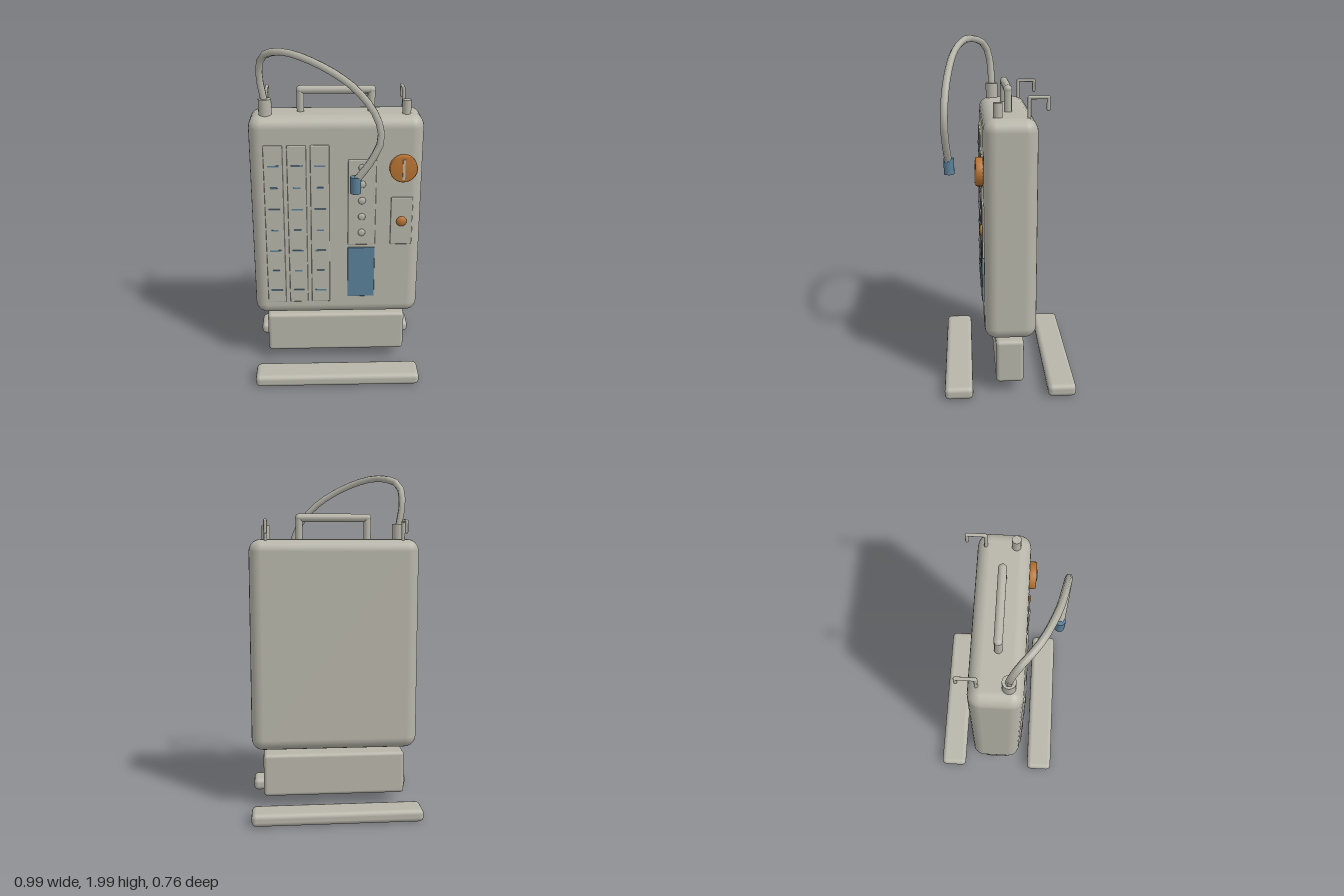
import * as THREE from 'three';
import { RoundedBoxGeometry } from 'three/addons/geometries/RoundedBoxGeometry.js';

const mat = (name, color) => Object.assign(new THREE.MeshStandardMaterial({ color }), { name });

export function createModel() {
  const grey = mat('warmGrey', 0xb8b6aa);
  const copper = mat('copper', 0xb87333);
  const blue = mat('steelBlue', 0x5b8199);
  const model = new THREE.Group();
  model.name = 'backpackUnit';

  const add = (name, geometry, material, x = 0, y = 0, z = 0, parent = model) => {
    const mesh = new THREE.Mesh(geometry, material);
    mesh.name = name;
    mesh.position.set(x, y, z);
    parent.add(mesh);
    return mesh;
  };
  // Rounded block given by its limits on each axis
  const block = (name, material, [x0, x1], [y0, y1], [z0, z1], radius, segments = 2) =>
    add(name, new RoundedBoxGeometry(x1 - x0, y1 - y0, z1 - z0, segments, radius), material,
      (x0 + x1) / 2, (y0 + y1) / 2, (z0 + z1) / 2);
  // Upright cylinder from y0 to y1
  const post = (name, material, x, z, y0, y1, r, sides = 16) =>
    add(name, new THREE.CylinderGeometry(r, r, y1 - y0, sides), material, x, (y0 + y1) / 2, z);

  // Main case, base block and the two floor rails
  block('case', grey, [-0.493, 0.493], [0.37, 1.613], [-0.147, 0.145], 0.07, 3);
  block('baseBlock', grey, [-0.428, 0.425], [0.073, 0.333], [-0.08, 0.08], 0.022);
  block('frontRail', grey, [-0.493, 0.493], [0.005, 0.08], [0.214, 0.377], 0.028);
  block('backRail', grey, [-0.493, 0.493], [0.005, 0.08], [-0.38, -0.217], 0.028);

  // Three gauge strips with alternating long and short marks
  [-0.358, -0.226, -0.095].forEach((x, s) => {
    block(`gaugeStrip${s + 1}`, grey, [x - 0.054, x + 0.054], [0.468, 1.455], [0.138, 0.154], 0.006);
    for (let i = 0; i < 7; i++) {
      add('gaugeMark', new THREE.BoxGeometry(i % 2 ? 0.042 : 0.066, 0.008, 0.005), blue,
        x, 1.336 - i * 0.131, 0.1555);
    }
  });

  // Stud panel, blue display and switch panel
  block('studPanel', grey, [0.065, 0.225], [0.845, 1.37], [0.138, 0.153], 0.006);
  block('display', blue, [0.065, 0.225], [0.5, 0.826], [0.138, 0.153], 0.004);
  block('switchPanel', grey, [0.313, 0.44], [0.845, 1.14], [0.138, 0.153], 0.006);
  for (let i = 0; i < 5; i++) {
    const stud = add('stud', new THREE.SphereGeometry(0.022, 10, 8), grey, 0.145, 1.322 - i * 0.0995, 0.153);
    stud.scale.z = 0.4;
  }
  const button = add('switchButton', new THREE.SphereGeometry(0.031, 10, 8), copper, 0.376, 0.992, 0.153);
  button.scale.z = 0.5;

  // Dial: bevelled disc with a pointer
  const dialProfile = [[0, 0], [0.074, 0], [0.079, 0.006], [0.079, 0.034], [0.073, 0.042], [0, 0.042]]
    .map(([r, h]) => new THREE.Vector2(r, h));
  add('dial', new THREE.LatheGeometry(dialProfile, 24), copper, 0.376, 1.32, 0.143).rotation.x = Math.PI / 2;
  add('dialPointer', new THREE.BoxGeometry(0.014, 0.12, 0.008), grey, 0.376, 1.32, 0.188);

  // Carry handle
  const handle = new THREE.Group();
  handle.name = 'handle';
  model.add(handle);
  for (const x of [-0.2, 0.2]) {
    add('handlePost', new THREE.CylinderGeometry(0.022, 0.022, 0.15, 10), grey, x, 1.665, 0, handle);
  }
  add('handleBar', new THREE.CapsuleGeometry(0.024, 0.4, 4, 10), grey, 0, 1.735, 0, handle)
    .rotation.z = Math.PI / 2;

  // Strap hooks at the back of the top
  const hookPath = new THREE.CurvePath();
  const hookPoints = [[1.6, -0.1], [1.715, -0.1], [1.715, -0.2], [1.653, -0.2]]
    .map(([y, z]) => new THREE.Vector3(0, y, z));
  for (let i = 0; i < 3; i++) hookPath.add(new THREE.LineCurve3(hookPoints[i], hookPoints[i + 1]));
  for (const x of [-0.397, 0.395]) {
    const hook = new THREE.Group();
    hook.name = 'strapHook';
    hook.position.x = x;
    model.add(hook);
    for (const line of hookPath.curves) {
      add('hookRod', new THREE.TubeGeometry(line, 1, 0.01, 8), grey, 0, 0, 0, hook);
    }
    for (const p of hookPoints.slice(1)) {
      add('hookJoint', new THREE.SphereGeometry(0.01, 8, 6), grey, p.x, p.y, p.z, hook);
    }
  }

  // Hose socket, filler cap, hose and nozzle
  post('hoseSocket', grey, -0.396, 0.065, 1.6, 1.7, 0.037);
  post('fillerCap', grey, 0.394, 0.064, 1.6, 1.69, 0.025);
  const hosePoints = [
    [-0.395, 1.67, 0.064], [-0.42, 1.84, 0.075], [-0.4, 1.935, 0.108], [-0.29, 1.978, 0.2],
    [-0.1, 1.928, 0.282], [0.09, 1.81, 0.325], [0.2, 1.67, 0.345], [0.228, 1.55, 0.35],
    [0.18, 1.43, 0.345], [0.097, 1.31, 0.333],
  ].map((p) => new THREE.Vector3(...p));
  add('hose', new THREE.TubeGeometry(new THREE.CatmullRomCurve3(hosePoints), 24, 0.021, 6), grey);
  post('nozzle', blue, 0.097, 0.331, 1.24, 1.333, 0.03, 12);

  return model;
}
